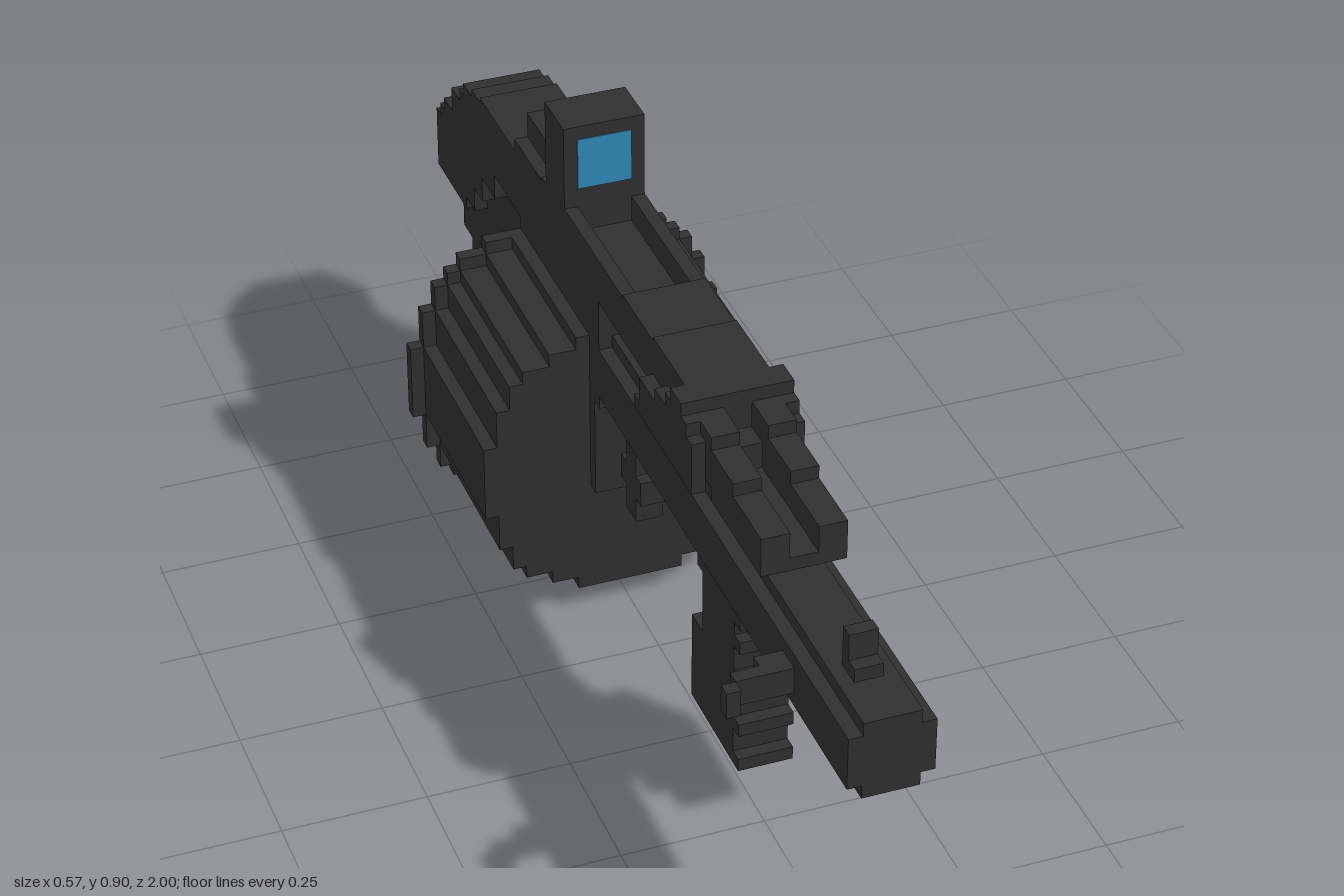
import * as THREE from 'three';
import { mergeGeometries } from 'three/addons/utils/BufferGeometryUtils.js';

const U = 1 / 42; // one block
const black = new THREE.MeshStandardMaterial({ color: 0x2f2f2f });
black.name = 'gunmetal black';
const blue = new THREE.MeshStandardMaterial({ color: 0x3087b5 });
blue.name = 'lens blue';

// Box between block coordinates
function box(x0, x1, y0, y1, z0, z1) {
  const g = new THREE.BoxGeometry((x1 - x0) * U, Math.abs(y1 - y0) * U, Math.abs(z1 - z0) * U);
  return g.translate((x0 + x1) * U / 2, (y0 + y1) * U / 2, (z0 + z1) * U / 2);
}
// Centred box with half width h
const mid = (h, y0, y1, z0, z1) => box(-h, h, y0, y1, z0, z1);
// The same box on both sides
const pair = (x0, x1, ...r) => [box(x0, x1, ...r), box(-x1, -x0, ...r)];

export function createModel() {
  const group = new THREE.Group();
  const add = (name, boxes, material = black) => {
    const mesh = new THREE.Mesh(mergeGeometries(boxes), material);
    mesh.name = name;
    group.add(mesh);
  };

  // Barrel with notched long edges
  add('barrel', [mid(2, 19, 25, -4, 42), mid(3, 20, 24, -4, 42)]);
  add('frontSight', [mid(1, 25, 26, 36, 38), mid(1, 26, 28, 36, 37)]);
  add('chargingHandle', [
    box(-5, -3, 21, 23, 31, 33), box(-7, -5, 21, 23, 32, 33), box(-8, -7, 21, 23, 33, 34),
  ]);

  // Foregrip with finger ridges
  add('foregrip', [
    mid(2, 18, 19, 12, 22), mid(2, 17, 18, 13, 21), mid(2, 12, 17, 14, 20), mid(2, 5, 12, 12, 20),
    ...[[5, 6], [8, 9], [11, 13], [15, 16], [17, 18]].map(([a, b]) => mid(2, a, b, 20, 21)),
  ]);

  // Top cover: nose with a channel, then the long spine with an open slot
  add('coverNose', [
    mid(1, 26, 27, 17, 27),
    ...pair(1, 3, 26, 29, 22, 27), ...pair(1, 3, 26, 30, 18, 22), ...pair(1, 3, 27, 31, 15, 18),
    mid(1, 27, 29, 15, 17),
  ]);
  add('topCover', [
    mid(3, 27, 32, 7, 15), mid(3, 28, 31.7, 1, 7),
    mid(2, 28, 29.5, -11, 1), ...pair(2, 3, 28, 31.5, -11, 1), mid(3, 28, 31.3, -16, -11),
  ]);

  // Cheek plates with a sloping rear edge
  add('cheekPlates', [
    [26, 27, 6, 17], [27, 29, 7, 17], [29, 30, 10, 17], [30, 31, 12, 16], [31, 32, 13, 15],
  ].flatMap(([y0, y1, z0, z1]) => pair(3, 4, y0, y1, z0, z1)));

  // Receiver and the plate ahead of the drum
  add('receiver', [mid(3, 19, 28, -21, -4), mid(3, 28, 31, -22, -15), mid(2, 16, 25, -29, -21)]);
  add('drumPlate', [mid(3, 11, 19, -6, -5)]);
  add('drumLatch', [mid(1, 10, 16, -4, -2), mid(1, 12, 14, -5, -1)]);

  // Drum: symmetric rows of [first row, last row, half width]
  const disc = (rows, z0, z1) => rows.flatMap(([a, b, h]) =>
    b > 13 ? [mid(h, a, b, z0, z1)] : [mid(h, a, b, z0, z1), mid(h, 26 - b, 26 - a, z0, z1)]);
  add('drumBody', disc([[2, 3, 4], [3, 4, 6], [4, 5, 8], [5, 7, 9], [7, 10, 10], [10, 16, 11]], -20, -6));
  add('drumRim', disc([[1, 2, 3], [2, 3, 6], [3, 4, 8], [4, 5, 9], [5, 7, 10], [7, 10, 11], [10, 16, 12]], -21, -20));
  add('drumKnob', [box(-7, -5, 10, 16, -22, -21)]);

  // Curved shoulder: wide shell over a narrower core, [z front, z back, shell bottom, top]
  const shoulder = [
    [-21, -27, 25, 30], [-27, -30, 23, 30], [-30, -32, 21, 29.6], [-32, -34, 19, 29],
    [-34, -35, 18, 28], [-35, -37, 18, 27], [-37, -39, 18, 25], [-39, -40, 18, 24], [-40, -41, 18, 23],
  ];
  add('shoulderShell', shoulder.map(([a, b, lo, hi]) => mid(3, lo, hi, b, a)));
  add('shoulderCore', [mid(2, 16, 21, -41, -29), mid(2, 20, 25, -32, -21)]);

  // Pistol grip: [bottom, top, z front, z back], its back narrowed
  add('pistolGrip', [
    [14, 16, -29, -39], [13, 14, -30, -37], [12, 13, -31, -37], [11, 12, -31, -38], [8, 11, -32, -39],
    [7, 8, -31, -40], [6, 7, -32, -40], [5, 6, -32, -41], [4, 5, -33, -42], [3, 4, -32, -42],
    [1, 3, -33, -42], [0, 1, -32, -42],
  ].flatMap(([y0, y1, a, b]) => [mid(1, y0, y1, b, a), mid(2, y0, y1, b + 1, a)]));

  // Trigger and guard
  add('triggerGuard', [mid(1, 10, 11, -28, -21), mid(1, 11, 12, -29, -28), mid(1, 12, 13, -31, -29)]);
  add('trigger', [mid(1, 14, 16, -28, -26), mid(1, 13, 14, -27, -25), mid(1, 12, 13, -25, -24)]);

  // Sight housing, lens and rear steps
  add('sightHousing', [mid(3, 31, 38, -15, -11), mid(2, 31, 35, -16, -15), mid(2, 31, 33, -22, -16)]);
  add('sightLens', [mid(2, 33, 37, -11, -10.9)], blue);

  return group;
}
